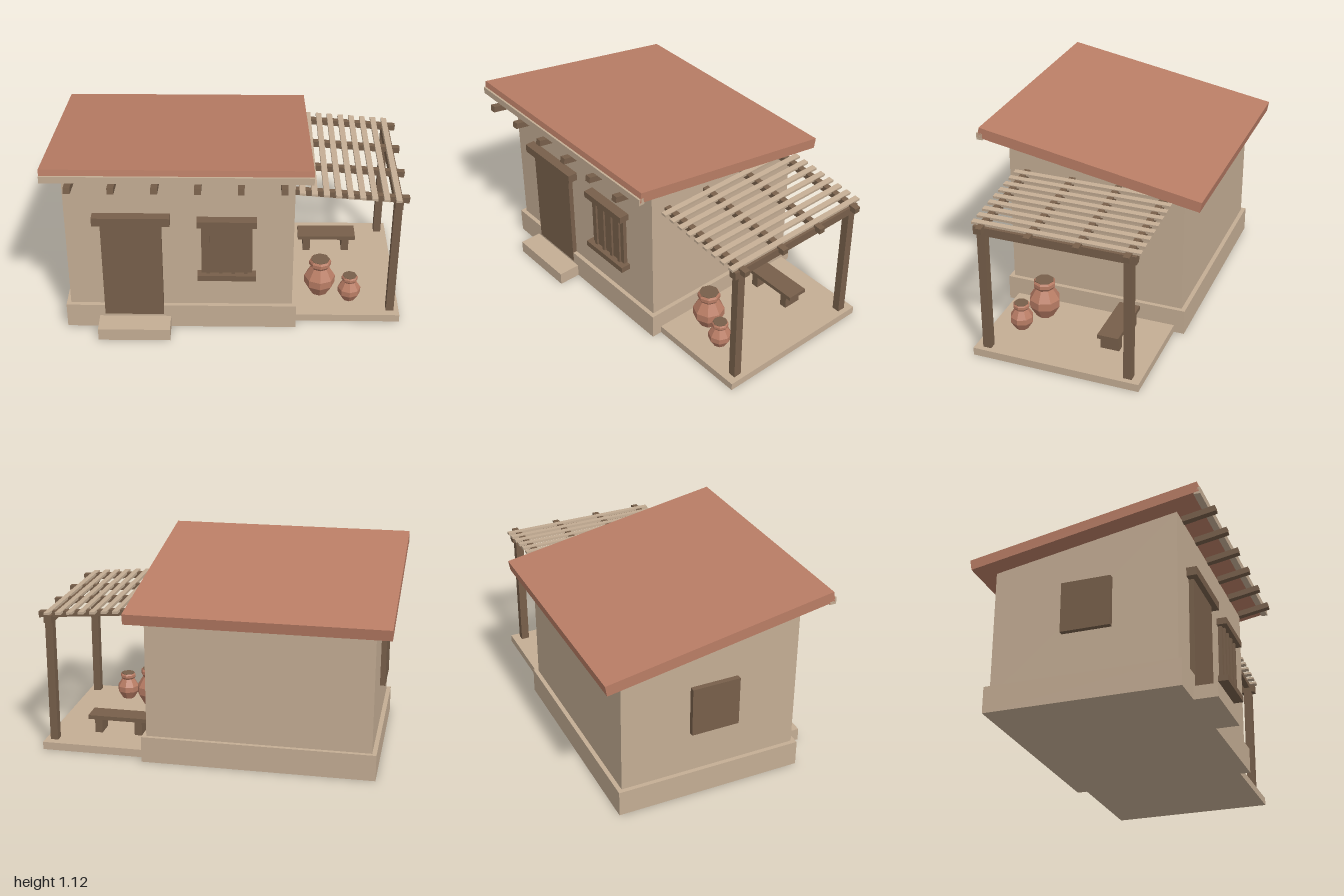
import * as THREE from 'three';

const mat = (name, color) => Object.assign(new THREE.MeshStandardMaterial({ color }), { name });

export function createModel() {
  const plaster = mat('plaster', 0xc4ad94);
  const clay = mat('terracotta', 0xb97d65);
  const wood = mat('brown wood', 0x775f4a);
  const house = new THREE.Group();
  house.name = 'house';

  const add = (name, geometry, material, parent = house) => {
    const mesh = new THREE.Mesh(geometry, material);
    mesh.name = name;
    parent.add(mesh);
    return mesh;
  };
  // Box given by its limits on each axis
  const box = (name, material, [x0, x1], [y0, y1], [z0, z1], parent = house) => {
    const mesh = add(name, new THREE.BoxGeometry(x1 - x0, y1 - y0, z1 - z0), material, parent);
    mesh.position.set((x0 + x1) / 2, (y0 + y1) / 2, (z0 + z1) / 2);
    return mesh;
  };

  // Base
  box('plinth', plaster, [-0.935, 0.385], [0, 0.15], [-0.585, 0.505]);
  box('doorStep', plaster, [-0.745, -0.335], [0, 0.075], [0.5, 0.635]);
  box('patio', plaster, [0.38, 0.99], [0, 0.045], [-0.525, 0.445]);

  // Walls with a sloping top, drawn in (z, y) and extruded along x
  const side = new THREE.Shape([[-0.56, 0.1], [0.48, 0.1], [0.48, 1.022], [-0.56, 0.838]]
    .map(([z, y]) => new THREE.Vector2(z, y)));
  const walls = new THREE.ExtrudeGeometry(side, { depth: 1.27, bevelEnabled: false });
  walls.rotateY(-Math.PI / 2).translate(0.36, 0, 0);
  add('walls', walls, plaster);

  // Lean-to roof, fascia and projecting rafter ends
  const pitch = THREE.MathUtils.degToRad(-10);
  const roof = add('roof', new THREE.BoxGeometry(1.45, 0.061, 1.32), clay);
  roof.position.set(-0.275, 0.98, -0.025);
  roof.rotation.x = pitch;
  box('fascia', plaster, [-1, 0.45], [1.05, 1.09], [0.6, 0.637]);
  for (let i = 0; i < 6; i++) {
    const end = add('rafterEnd', new THREE.BoxGeometry(0.036, 0.035, 0.19), wood);
    end.position.set(-0.85 + i * 0.229, 1.015, 0.587);
    end.rotation.x = pitch;
  }

  // Door
  const door = new THREE.Group();
  door.name = 'door';
  house.add(door);
  box('doorLeaf', wood, [-0.713, -0.375], [0.09, 0.715], [0.46, 0.508], door);
  box('doorLintel', wood, [-0.755, -0.325], [0.715, 0.765], [0.46, 0.538], door);

  // Front window with vertical bars
  const win = new THREE.Group();
  win.name = 'frontWindow';
  house.add(win);
  box('windowPanel', wood, [-0.155, 0.13], [0.38, 0.71], [0.46, 0.503], win);
  box('windowLintel', wood, [-0.178, 0.152], [0.705, 0.745], [0.46, 0.538], win);
  box('windowSill', wood, [-0.178, 0.152], [0.35, 0.385], [0.46, 0.538], win);
  for (let i = 0; i < 4; i++) {
    const x = -0.117 + i * 0.07;
    box('windowBar', wood, [x - 0.01, x + 0.01], [0.385, 0.705], [0.49, 0.515], win);
  }
  box('sideShutter', wood, [-0.94, -0.9], [0.4, 0.69], [-0.16, 0.12]);

  // Pergola: posts, beam, sloping rafters and slats
  const pergola = new THREE.Group();
  pergola.name = 'pergola';
  house.add(pergola);
  for (const z of [0.375, -0.452])
    box('post', wood, [0.915, 0.96], [0.045, 0.77], [z - 0.024, z + 0.024], pergola);
  box('beam', wood, [0.915, 0.96], [0.758, 0.806], [-0.495, 0.42], pergola);
  const fall = -0.08;
  for (let i = 0; i < 4; i++) {
    const rafter = add('pergolaRafter', new THREE.BoxGeometry(0.65, 0.034, 0.036), wood, pergola);
    rafter.position.set(0.673, 0.826, 0.372 - i * 0.275);
    rafter.rotation.z = fall;
  }
  for (let i = 0; i < 9; i++) {
    const x = 0.402 + i * 0.0665;
    const slat = add('slat', new THREE.BoxGeometry(0.033, 0.014, 0.95), plaster, pergola);
    slat.position.set(x, 0.841 + (x - 0.673) * fall, -0.042);
    slat.rotation.z = fall;
  }

  // Bench
  const bench = new THREE.Group();
  bench.name = 'bench';
  house.add(bench);
  box('benchSeat', wood, [0.42, 0.775], [0.128, 0.152], [-0.33, -0.207], bench);
  for (const x of [0.475, 0.715])
    box('benchLeg', wood, [x - 0.022, x + 0.022], [0.045, 0.13], [-0.322, -0.213], bench);

  // Clay pots, faceted, with wooden lids
  const potShape = [[0, 0], [0.55, 0], [0.98, 0.3], [0.98, 0.5], [0.56, 0.78], [0.7, 0.86], [0.7, 0.95], [0.62, 1], [0, 1]];
  const facetedClay = mat('faceted terracotta', 0xb97d65);
  facetedClay.flatShading = true;
  const pot = (name, x, z, radius, height) => {
    const group = new THREE.Group();
    group.name = name;
    group.position.set(x, 0.045, z);
    house.add(group);
    const profile = potShape.map(([r, y]) => new THREE.Vector2(r * radius, y * height));
    add('potBody', new THREE.LatheGeometry(profile, 8), facetedClay, group);
    const lid = add('potLid', new THREE.CylinderGeometry(radius * 0.6, radius * 0.6, 0.006, 8), wood, group);
    lid.position.y = height;
  };
  pot('largePot', 0.533, 0.21, 0.093, 0.229);
  pot('smallPot', 0.705, 0.278, 0.068, 0.162);

  return house;
}
